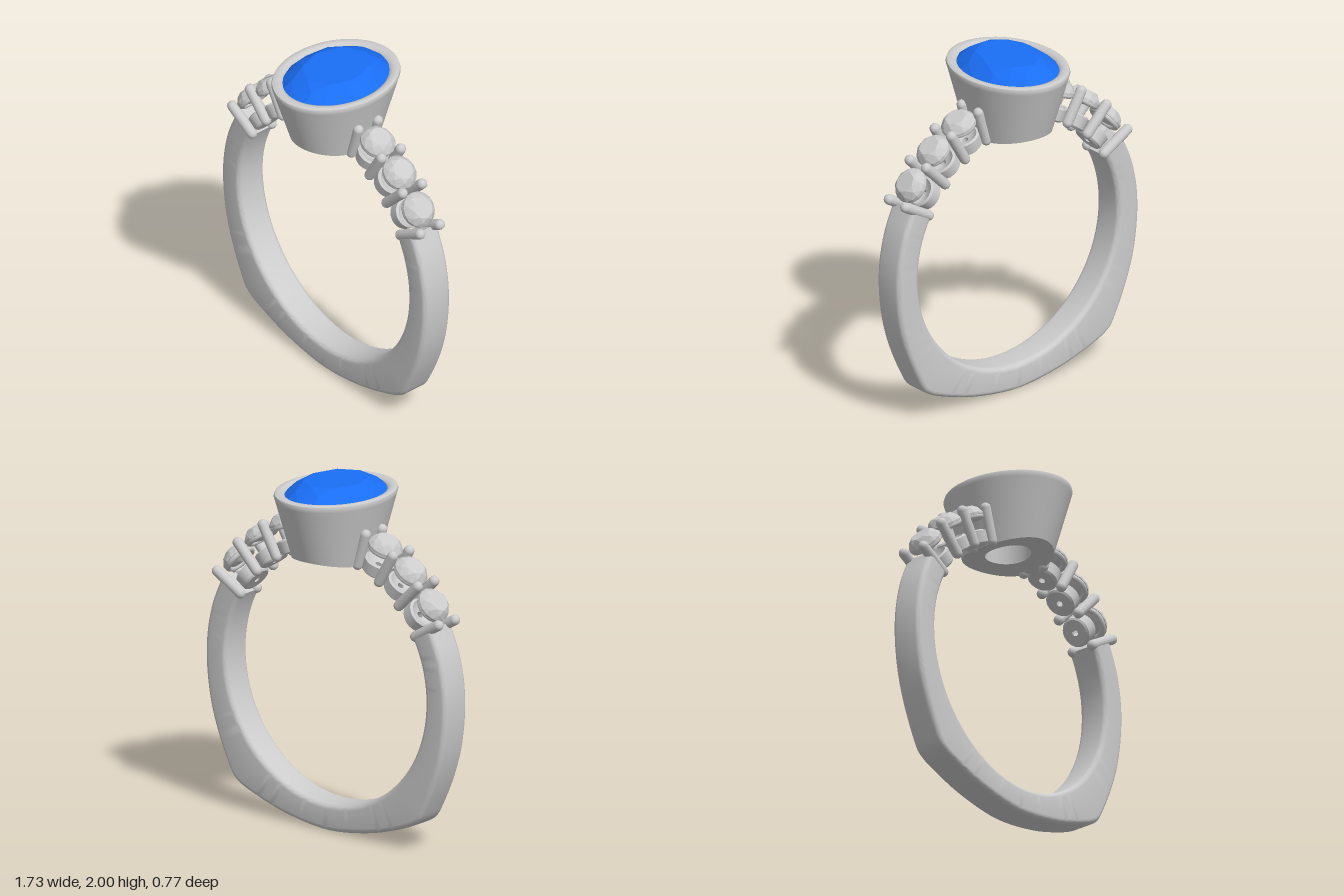
import * as THREE from 'three';
import { toCreasedNormals } from 'three/addons/utils/BufferGeometryUtils.js';
import { ConvexGeometry } from 'three/addons/geometries/ConvexGeometry.js';

const CENTER_Y = 0.87;   // centre of the finger hole
const FINGER_R = 0.715;  // radius of the finger hole
const metal = new THREE.MeshStandardMaterial({ color: 0xcccccc });
const blue = new THREE.MeshStandardMaterial({ color: 0x1a6ef5 });

function addMesh(parent, name, geometry, material = metal) {
  const mesh = new THREE.Mesh(geometry, material);
  mesh.name = name;
  parent.add(mesh);
  return mesh;
}

// Brilliant-cut gem: girdle at y = 0, octagonal table at y = crown, point at y = -depth
function gemGeometry(rx, rz, crown, depth, table) {
  const pts = [new THREE.Vector3(0, -depth, 0)];
  const ring = (n, r, y, turn) => {
    for (let i = 0; i < n; i++) {
      const a = ((i + turn) / n) * Math.PI * 2;
      pts.push(new THREE.Vector3(Math.cos(a) * rx * r, y, Math.sin(a) * rz * r));
    }
  };
  ring(8, table, crown, 0);
  ring(8, 0.82, crown * 0.62, 0.5);
  ring(16, 1, 0, 0);
  ring(16, 1, -0.012, 0);
  return new ConvexGeometry(pts);
}

// Rounded rectangular section: k = 0 inner edge, 1 outer edge; z across the band
function bandSection() {
  const out = [];
  const corners = [[1, 1, 0], [-1, 1, 1], [-1, -1, 2], [1, -1, 3]];
  for (const [su, sz, q] of corners) {
    for (let i = 0; i <= 5; i++) {
      const a = (q + i / 5) * Math.PI / 2;
      out.push({ su, du: Math.cos(a) - su, z: sz * 0.065 + Math.sin(a) * 0.03 });
    }
  }
  return out;
}

// Shank: round inside, with shouldered lower corners outside
function shankGeometry() {
  const half = [[0.755, 1.305], [0.82, 1.15], [0.855, 1.0], [0.865, 0.87], [0.857, 0.72],
    [0.83, 0.565], [0.78, 0.41], [0.71, 0.255], [0.668, 0.182], [0.62, 0.146],
    [0.5, 0.097], [0.3, 0.038]];
  const outline = [...half, [0, 0], ...half.map(([x, y]) => [-x, y]).reverse()];
  const curve = new THREE.CatmullRomCurve3(outline.map(([x, y]) => new THREE.Vector3(x, y, 0)));
  const path = curve.getSpacedPoints(150);
  const section = bandSection();
  const n = section.length;
  const pos = [], index = [];
  for (const p of path) {
    const a = Math.atan2(p.y - CENTER_Y, p.x);
    const rOut = Math.hypot(p.x, p.y - CENTER_Y);
    for (const s of section) {
      const r = (s.su > 0 ? rOut : FINGER_R) + s.du * 0.03;
      pos.push(Math.cos(a) * r, CENTER_Y + Math.sin(a) * r, s.z);
    }
  }
  for (let i = 0; i < path.length - 1; i++) {
    for (let j = 0; j < n; j++) {
      const a = i * n + j, b = i * n + (j + 1) % n;
      index.push(a, b, a + n, b, b + n, a + n);
    }
  }
  // End caps
  const last = (path.length - 1) * n;
  for (let j = 1; j < n - 1; j++) {
    index.push(0, j + 1, j, last, last + j, last + j + 1);
  }
  const g = new THREE.BufferGeometry();
  g.setAttribute('position', new THREE.Float32BufferAttribute(pos, 3));
  g.setIndex(index);
  return toCreasedNormals(g, 0.7);
}

// Oval bezel cup, its underside cut to the curve of the finger hole
function bezelGeometry() {
  const profile = [[0.11, 1.5], [0.165, 1.5], [0.22, 1.5], [0.303, 1.905], [0.309, 1.925],
    [0.305, 1.939], [0.292, 1.945], [0.272, 1.943], [0.258, 1.935], [0.25, 1.92],
    [0.245, 1.87], [0.11, 1.7], [0.11, 1.5]];
  const g = new THREE.LatheGeometry(profile.map(([r, y]) => new THREE.Vector2(r, y)), 80);
  const p = g.attributes.position;
  for (let i = 0; i < p.count; i++) {
    const x = p.getX(i), z = p.getZ(i), r = Math.hypot(x, z);
    p.setZ(i, z * (1 + Math.min(0.25, 0.076 / r)));
    if (p.getY(i) < 1.55) p.setY(i, CENTER_Y + Math.sqrt(FINGER_R ** 2 - x * x));
  }
  return toCreasedNormals(g, 0.6);
}

export function createModel() {
  const ring = new THREE.Group();
  ring.name = 'ring';

  addMesh(ring, 'shank', shankGeometry());
  addMesh(ring, 'bezel', bezelGeometry());
  const stone = addMesh(ring, 'centreStone', gemGeometry(0.256, 0.328, 0.073, 0.2, 0.63), blue);
  stone.position.y = 1.927;

  // Shared geometry for the shoulders; local y runs outward from the ring centre
  const gem = gemGeometry(0.1, 0.1, 0.045, 0.042, 0.6);
  const seat = new THREE.TorusGeometry(0.082, 0.016, 10, 32).rotateX(Math.PI / 2);
  const cup = toCreasedNormals(new THREE.LatheGeometry(
    [[0.018, 0.715], [0.075, 0.715], [0.085, 0.725], [0.088, 0.79], [0.075, 0.798],
      [0.05, 0.775], [0.018, 0.765], [0.018, 0.715]].map(([r, y]) => new THREE.Vector2(r, y)), 32), 0.6);
  const prong = new THREE.CapsuleGeometry(0.03, 0.19, 6, 14);

  for (const side of [1, -1]) {
    const shoulder = new THREE.Group();
    shoulder.name = side > 0 ? 'leftShoulder' : 'rightShoulder';
    ring.add(shoulder);
    const spoke = (name, degrees) => {
      const g = new THREE.Group();
      g.name = name;
      g.position.y = CENTER_Y;
      g.rotation.z = side * (degrees - 90) * Math.PI / 180;
      shoulder.add(g);
      return g;
    };
    // Accent stones, each with a seat ring above a small cup
    for (const degrees of [37.7, 52.5, 66.3]) {
      const setting = spoke('accentSetting', degrees);
      addMesh(setting, 'accentStone', gem).position.y = 0.892;
      addMesh(setting, 'seatRing', seat).position.y = 0.872;
      addMesh(setting, 'cup', cup);
    }
    // Pairs of prongs between the stones
    for (const degrees of [30, 45.3, 59.5, 72.8]) {
      const pair = spoke('prongPair', degrees);
      for (const z of [0.07, -0.07]) {
        addMesh(pair, 'prong', prong).position.set(0, 0.823, z);
      }
    }
  }
  return ring;
}
